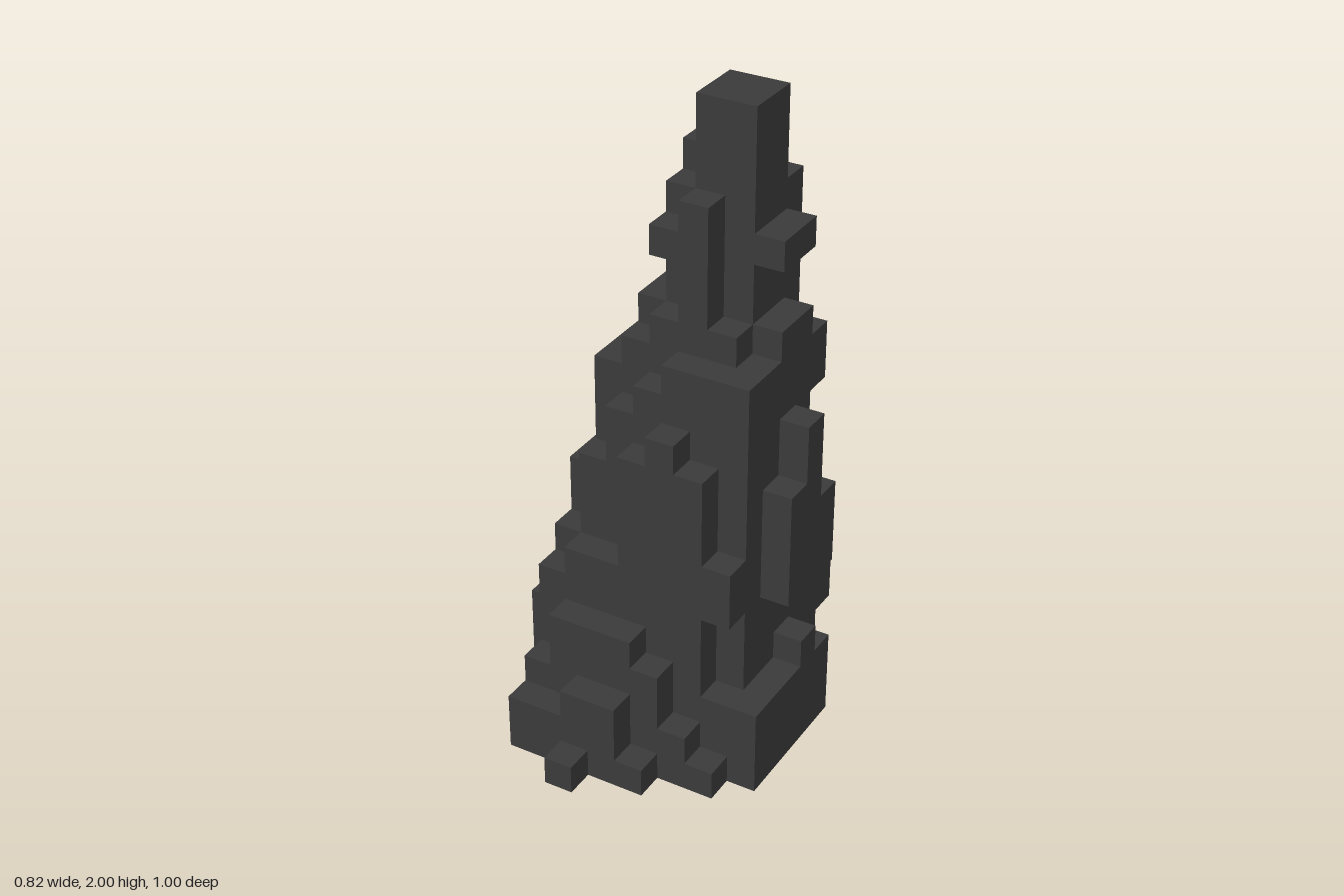
import * as THREE from 'three';
import { mergeGeometries } from 'three/addons/utils/BufferGeometryUtils.js';

const U = 2 / 22; // edge length of one block

// Column heights in blocks (base 36): rows run back to front, characters run from -x to +x
const HEIGHTS = [
  '000000000',
  '004788000',
  '019ehkj70',
  '05dfkmmf3',
  '09dfjmmf4',
  '09defjfe3',
  '07acdeee3',
  '0677bcb33',
  '035554210',
  '022331000',
  '000100000',
];

// Overhanging ledges: column, first row, last row, bottom, top
const LEDGES = [
  [0, 4, 6, 1, 4],
  [1, 3, 3, 6, 8],
  [4, 0, 0, 2, 4],
  [4, 5, 5, 17, 18],
  [6, 1, 1, 1, 7],
  [7, 1, 1, 3, 5],
  [7, 2, 2, 12, 14],
  [7, 3, 4, 17, 18],
  [7, 7, 7, 6, 8],
  [8, 3, 3, 6, 9],
  [8, 4, 4, 6, 12],
  [8, 5, 5, 6, 10],
];

// Outward directions of a block's six faces, with the turn that aims a plane along each
const SIDES = [
  [1, 0, 0, 0, Math.PI / 2],
  [-1, 0, 0, 0, -Math.PI / 2],
  [0, 1, 0, -Math.PI / 2, 0],
  [0, -1, 0, Math.PI / 2, 0],
  [0, 0, 1, 0, 0],
  [0, 0, -1, 0, Math.PI],
];

const key = (x, y, z) => `${x},${y},${z}`;

export function createModel() {
  const group = new THREE.Group();
  group.name = 'blockySpire';
  const stone = new THREE.MeshStandardMaterial({ color: 0x3a3a3a });
  stone.name = 'darkStone';

  const filled = new Set();
  const fill = (list, x, z, y0, y1) => {
    for (let y = y0; y < y1; y++) {
      if (filled.has(key(x, y, z))) continue;
      filled.add(key(x, y, z));
      list.push([x, y, z]);
    }
  };

  // Stepped main body
  const body = [];
  HEIGHTS.forEach((row, z) => [...row].forEach((h, x) => fill(body, x, z, 0, parseInt(h, 36))));

  // Ledges standing out from the walls
  const ledges = [];
  for (const [x, z0, z1, y0, y1] of LEDGES) {
    for (let z = z0; z <= z1; z++) fill(ledges, x, z, y0, y1);
  }

  // Only the exposed faces of the blocks are built
  const addBlocks = (name, blocks) => {
    const faces = [];
    for (const [x, y, z] of blocks) {
      for (const [dx, dy, dz, rx, ry] of SIDES) {
        if (filled.has(key(x + dx, y + dy, z + dz))) continue;
        faces.push(new THREE.PlaneGeometry(U, U).rotateX(rx).rotateY(ry).translate(
          (x - 4 + dx / 2) * U,
          (y + 0.5 + dy / 2) * U,
          (z - 5 + dz / 2) * U,
        ));
      }
    }
    const mesh = new THREE.Mesh(mergeGeometries(faces), stone);
    mesh.name = name;
    group.add(mesh);
  };
  addBlocks('spireBody', body);
  addBlocks('rockLedges', ledges);
  return group;
}
